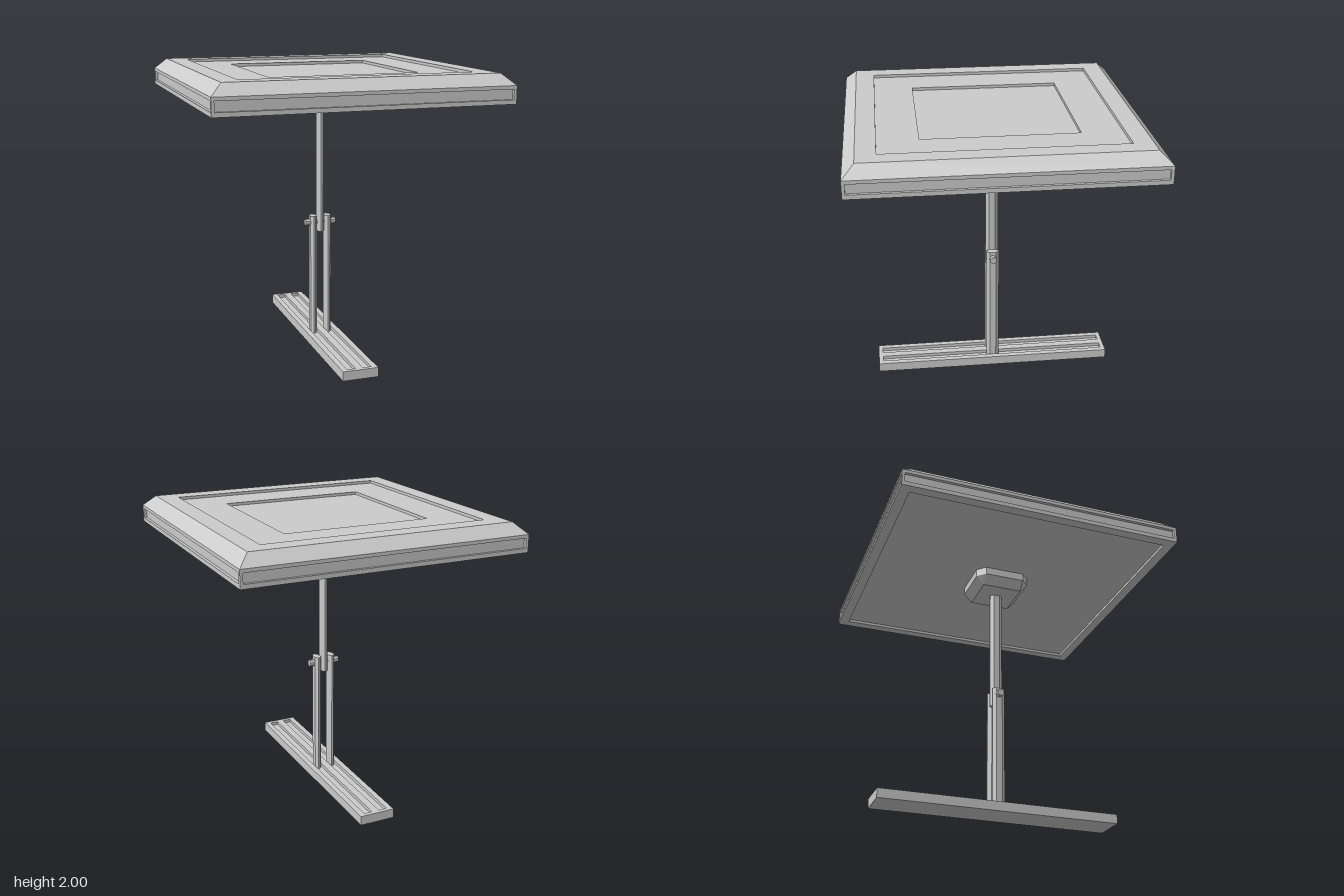
import * as THREE from 'three';
import { ConvexGeometry } from 'three/addons/geometries/ConvexGeometry.js';

const grey = new THREE.MeshStandardMaterial({ color: 0xcccccc, flatShading: true });

function add(parent, name, geometry, x = 0, y = 0, z = 0) {
  const mesh = new THREE.Mesh(geometry, grey);
  mesh.name = name;
  mesh.position.set(x, y, z);
  parent.add(mesh);
  return mesh;
}

// Rectangle centred on (cx, cy)
function rect(Kind, w, h, cx = 0, cy = 0) {
  const p = new Kind();
  p.moveTo(cx - w / 2, cy - h / 2);
  p.lineTo(cx + w / 2, cy - h / 2);
  p.lineTo(cx + w / 2, cy + h / 2);
  p.lineTo(cx - w / 2, cy + h / 2);
  p.closePath();
  return p;
}

// Plan shape raised from y0 to y1
function raise(shape, y0, y1) {
  const g = new THREE.ExtrudeGeometry(shape, { depth: y1 - y0, bevelEnabled: false });
  return g.rotateX(-Math.PI / 2).translate(0, y0, 0);
}

// Flat bar with chamfered long edges
function bar(y0, y1) {
  const hx = 0.023, hz = 0.045, fx = 0.007, fz = 0.022;
  const pts = [[hx, -fz], [hx, fz], [fx, hz], [-fx, hz], [-hx, fz], [-hx, -fz], [-fx, -hz], [fx, -hz]];
  return raise(new THREE.Shape(pts.map(([a, b]) => new THREE.Vector2(a, b))), y0, y1);
}

export function createModel() {
  const model = new THREE.Group();
  model.name = 'pedestalTable';

  // Table top: square rings with a recessed underside and two sunken steps
  const top = new THREE.Group();
  top.name = 'tableTop';
  model.add(top);
  const profile = [
    [0, 1.825], [0.925, 1.825], [0.925, 1.805], [0.975, 1.805], [0.975, 1.925], [0.995, 1.925],
    [0.915, 2], [0.785, 2], [0.785, 1.98], [0.515, 1.98], [0.515, 1.96], [0, 1.96],
  ].map(([half, y]) => new THREE.Vector2(half * Math.SQRT2, y));
  add(top, 'topSlab', new THREE.LatheGeometry(profile, 4, Math.PI / 4));

  // Slotted edge panel on each of the four sides
  const edge = rect(THREE.Shape, 1.99, 0.12, 0, 1.865);
  edge.holes.push(rect(THREE.Path, 1.95, 0.067, 0, 1.868));
  for (let i = 0; i < 4; i++) {
    const g = new THREE.ExtrudeGeometry(edge, { depth: 0.02, bevelEnabled: false });
    g.translate(0, 0, 0.975).rotateY(i * Math.PI / 2);
    add(top, 'edgePanel' + (i + 1), g);
  }

  // Mounting block: cut-corner square tapering to a smaller square
  const block = [];
  for (const sx of [-1, 1]) for (const sz of [-1, 1]) {
    block.push(new THREE.Vector3(sx * 0.143, 1.71, sz * 0.143));
    for (const y of [1.77, 1.827]) {
      block.push(new THREE.Vector3(sx * 0.2, y, sz * 0.143));
      block.push(new THREE.Vector3(sx * 0.143, y, sz * 0.2));
    }
  }
  add(model, 'mountingBlock', new ConvexGeometry(block));

  // Upper post held between two lower uprights
  add(model, 'upperPost', bar(0.81, 1.72));
  for (const s of [-1, 1]) {
    const side = s > 0 ? 'left' : 'right';
    add(model, side + 'Upright', bar(0.04, 0.925), s * 0.054);
    add(model, side + 'BoltHead',
      new THREE.CylinderGeometry(0.025, 0.025, 0.036, 8).rotateY(Math.PI / 8).rotateZ(Math.PI / 2),
      s * 0.094, 0.877);
  }
  add(model, 'boltShaft', new THREE.CylinderGeometry(0.014, 0.014, 0.2, 8).rotateZ(Math.PI / 2), 0, 0.877);

  // Foot with two long channels in its upper face
  const foot = new THREE.Group();
  foot.name = 'foot';
  model.add(foot);
  const rim = rect(THREE.Shape, 0.25, 1.71);
  for (const s of [-1, 1]) rim.holes.push(rect(THREE.Path, 0.06, 1.65, s * 0.056));
  add(foot, 'footPlate', raise(rect(THREE.Shape, 0.25, 1.71), 0, 0.042));
  add(foot, 'footChannels', raise(rim, 0.042, 0.066));

  return model;
}
